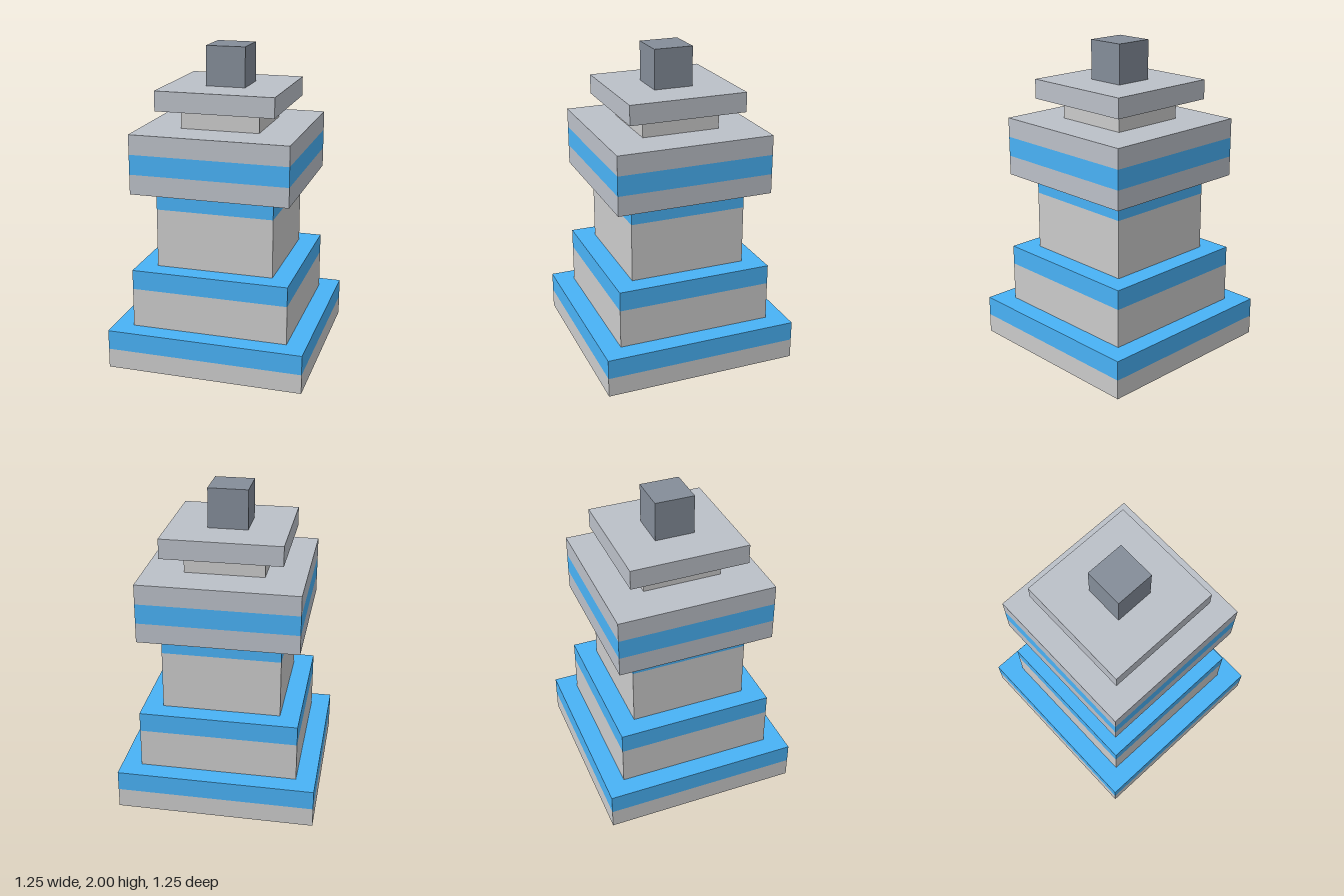
import * as THREE from 'three';

const material = (color) => new THREE.MeshStandardMaterial({ color });

export function createModel() {
  const model = new THREE.Group();
  model.name = 'steppedTower';

  const stone = material(0xcccccc);
  const blue = material(0x49b2f6);
  const slate = material(0xbbc0c8);
  const dark = material(0x848d99);

  // Square tiers from the ground up: name, width, height, material
  const tiers = [
    ['basePlinth', 1.25, 0.125, stone],
    ['basePlinthBand', 1.25, 0.125, blue],
    ['lowerStep', 1, 0.25, stone],
    ['lowerStepBand', 1, 0.125, blue],
    ['shaft', 0.75, 0.375, stone],
    ['shaftBand', 0.75, 0.125, blue],
    ['crownLowerSlab', 1, 0.125, slate],
    ['crownBand', 1, 0.125, blue],
    ['crownUpperSlab', 1, 0.125, slate],
    ['neck', 0.5, 0.125, stone],
    ['capSlab', 0.75, 0.125, slate],
    ['topFinial', 0.25, 0.25, dark],
  ];

  // Each tier rests on the one below
  let y = 0;
  for (const [name, width, height, mat] of tiers) {
    const tier = new THREE.Mesh(new THREE.BoxGeometry(width, height, width), mat);
    tier.name = name;
    tier.position.y = y + height / 2;
    model.add(tier);
    y += height;
  }
  return model;
}
